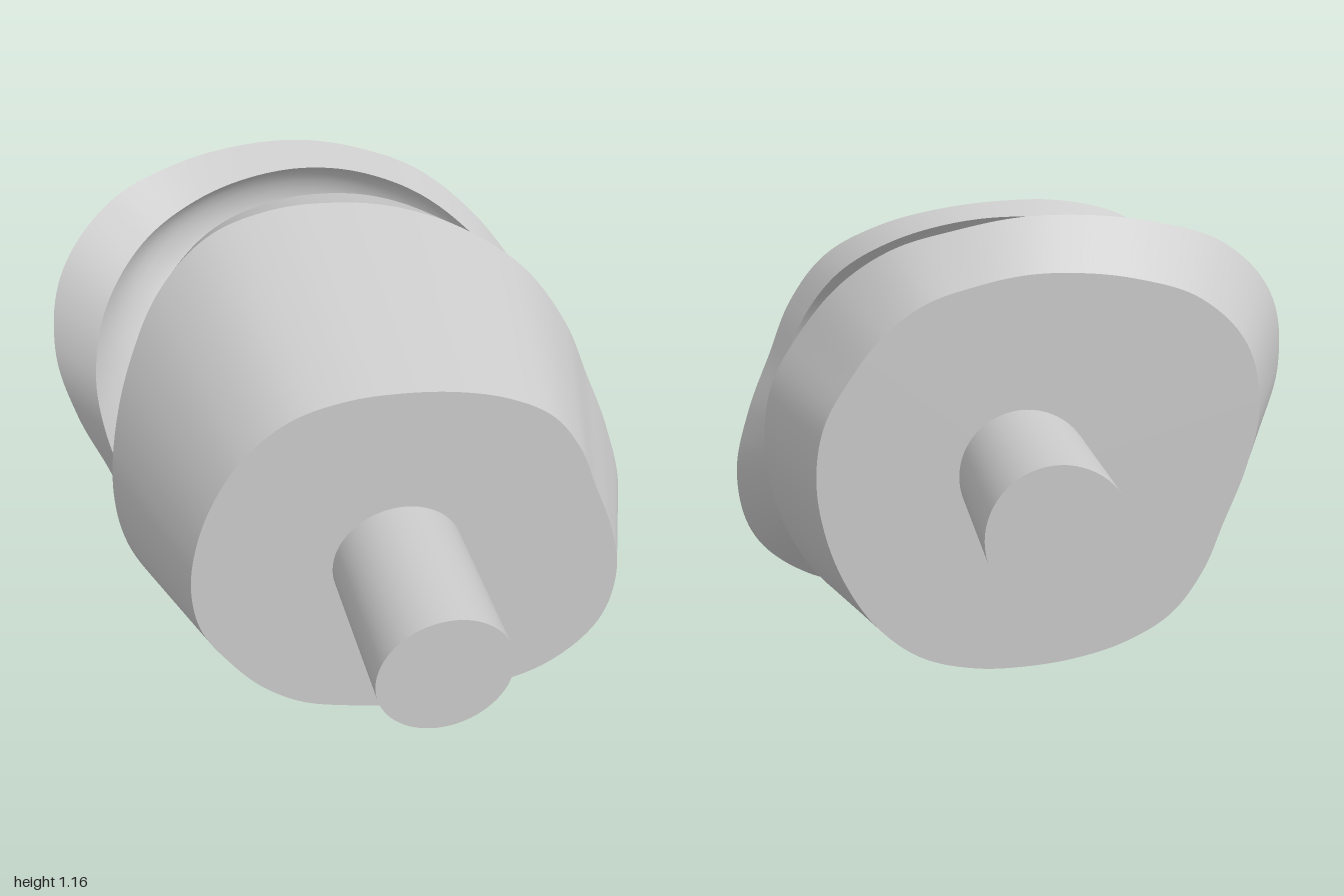
import * as THREE from 'three';

const AXIS_Y = 0.585, MID_Z = 0.065, HALF_LENGTH = 0.5525;
const STEPS = 240;

// cam radius at the front end, every 15 degrees counter-clockwise from +x
const END_RADIUS = [0.513, 0.482, 0.484, 0.488, 0.474, 0.462, 0.462, 0.477, 0.494, 0.492, 0.482, 0.476,
  0.476, 0.473, 0.459, 0.458, 0.457, 0.45, 0.459, 0.478, 0.514, 0.564, 0.586, 0.56];
// groove offset along the axis over the first half turn; the second half is its negative
const HALF_LIFT = [0.01, -0.005, -0.035, -0.1, -0.18, -0.235, -0.255, -0.255, -0.235, -0.185, -0.11, -0.05];
const LIFT = [...HALF_LIFT, ...HALF_LIFT.map((d) => -d)];

// periodic smooth interpolation, t in turns
function sample(table, t) {
  const n = table.length;
  const u = (((t % 1) + 1) % 1) * n;
  const i = Math.floor(u), f = u - i;
  const [a, b, c, d] = [-1, 0, 1, 2].map((k) => table[(i + k + n) % n]);
  return b + 0.5 * f * (c - a + f * (2 * a - 5 * b + 4 * c - d + f * (3 * (b - c) + d - a)));
}

// key points [radius, z from the middle] of one end: rim, ridge, groove lip
function endPoints(t, side) {
  const rim = sample(END_RADIUS, side > 0 ? t : t + 0.5);
  const lift = sample(LIFT, t);
  const ridge = rim * 1.25;
  return {
    rim: [rim, side * HALF_LENGTH],
    ridge: [ridge, lift + side * 0.17],
    lip: [0.55 + 0.5 * (ridge - 0.58), lift + side * 0.07],
  };
}

// undercut round groove from the front lip to the back lip
function groovePoints(t) {
  const front = endPoints(t, 1).lip, back = endPoints(t, -1).lip;
  const r0 = (front[0] + back[0]) / 2 - 0.11;
  const z0 = (front[1] + back[1]) / 2;
  const polar = ([r, z]) => [Math.hypot(r - r0, z - z0), Math.atan2(z - z0, r0 - r)];
  const [rf, af] = polar(front), [rb, ab] = polar(back);
  const points = [];
  for (let k = 0; k <= 24; k++) {
    const s = k / 24;
    const a = af + (ab - af) * s;
    const rad = 0.13 + (rf - 0.13) * Math.max(0, 1 - 6 * s) + (rb - 0.13) * Math.max(0, 6 * s - 5);
    points.push([r0 - rad * Math.cos(a), z0 + rad * Math.sin(a)]);
  }
  return points;
}

// sweep a profile that varies with the angle around the axis
function sweep(profile) {
  const positions = [], index = [];
  let rows = 0;
  for (let i = 0; i < STEPS; i++) {
    const t = i / STEPS, a = t * Math.PI * 2;
    const points = profile(t);
    rows = points.length;
    for (const [r, z] of points) positions.push(r * Math.cos(a), r * Math.sin(a), z);
  }
  for (let i = 0; i < STEPS; i++) {
    const p = i * rows, q = ((i + 1) % STEPS) * rows;
    for (let j = 0; j < rows - 1; j++) {
      index.push(p + j, p + j + 1, q + j + 1, p + j, q + j + 1, q + j);
    }
  }
  const geometry = new THREE.BufferGeometry();
  geometry.setAttribute('position', new THREE.Float32BufferAttribute(positions, 3));
  geometry.setIndex(index);
  geometry.computeVertexNormals();
  return geometry;
}

export function createModel() {
  const model = new THREE.Group();
  model.name = 'grooveCam';
  const material = new THREE.MeshStandardMaterial({ color: 0xcccccc });
  const add = (name, geometry, z) => {
    const mesh = new THREE.Mesh(geometry, material);
    mesh.name = name;
    mesh.position.set(0, AXIS_Y, z);
    model.add(mesh);
  };

  // end face, tapered flank and lip bevel of each half
  for (const side of [1, -1]) {
    const label = side > 0 ? 'front' : 'back';
    const strip = (from, to) => sweep((t) => {
      const e = { ...endPoints(t, side), centre: [0, side * HALF_LENGTH] };
      return side > 0 ? [e[from], e[to]] : [e[to], e[from]];
    });
    add(label + 'Face', strip('centre', 'rim'), MID_Z);
    add(label + 'Flank', strip('rim', 'ridge'), MID_Z);
    add(label + 'Bevel', strip('ridge', 'lip'), MID_Z);
  }

  // follower track
  add('groove', sweep(groovePoints), MID_Z);

  // shaft through the whole cam
  add('shaft', new THREE.CylinderGeometry(0.153, 0.153, 2, 64).rotateX(Math.PI / 2), 0);
  return model;
}
